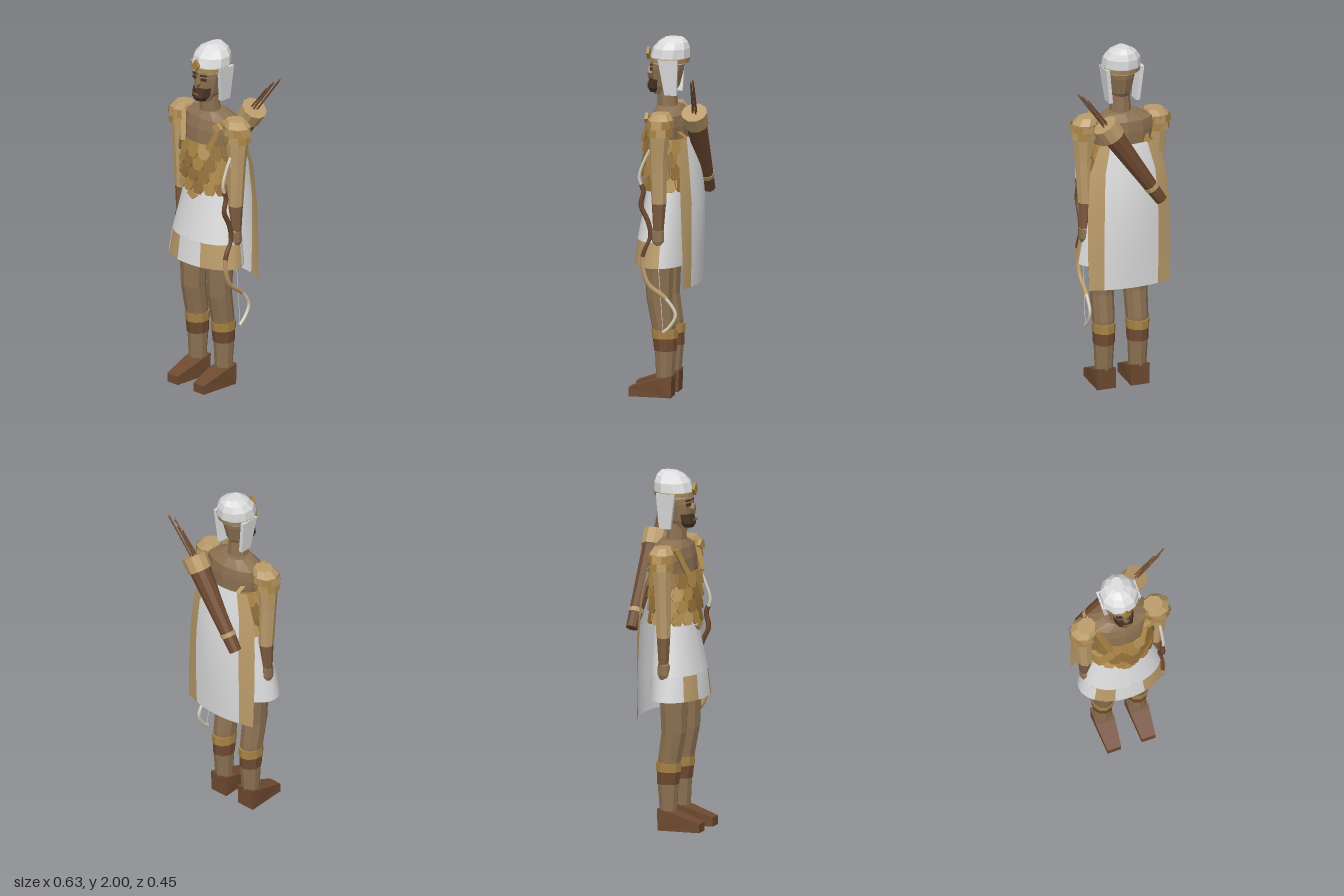
import * as THREE from 'three';

const mat = (name, color) => {
  const m = new THREE.MeshStandardMaterial({ color, side: THREE.DoubleSide });
  m.name = name;
  return m;
};
const M = {
  skin: mat('skin', 0x8c7152), leather: mat('leather', 0x6e4a30), bracer: mat('bracer brown', 0x7d5c40),
  tan: mat('tan cloth', 0xbb9c6b), gold: mat('gold', 0xa88344), bronze: mat('dark gold', 0x8f6d38),
  brass: mat('pale gold', 0xb8955c), white: mat('white cloth', 0xdcdcdc), dark: mat('dark hair', 0x453022),
  bone: mat('bone', 0xd6d0ba),
};

// Flat facets without touching the material
function flat(g) {
  const f = g.index ? g.toNonIndexed() : g;
  f.computeVertexNormals();
  return f;
}

function add(parent, name, geo, material, pos = [0, 0, 0]) {
  const m = new THREE.Mesh(geo, material);
  m.name = name;
  m.position.set(...pos);
  parent.add(m);
  return m;
}

// Skin over elliptical sections [y, cx, cz, rx, rz], listed bottom to top
function loft(sections, n, { a0 = 0, a1 = Math.PI * 2, caps = true, smooth = false } = {}) {
  const pos = [], idx = [];
  for (const [y, cx, cz, rx, rz] of sections)
    for (let i = 0; i <= n; i++) {
      const a = a0 + (a1 - a0) * i / n;
      pos.push(cx + rx * Math.sin(a), y, cz + rz * Math.cos(a));
    }
  const w = n + 1;
  for (let s = 0; s < sections.length - 1; s++)
    for (let i = 0; i < n; i++) {
      const a = s * w + i, b = a + 1, c = a + w, d = c + 1;
      idx.push(a, b, d, a, d, c);
    }
  if (caps) {
    const top = (sections.length - 1) * w;
    for (let i = 1; i < n - 1; i++) idx.push(top, top + i, top + i + 1, 0, i + 1, i);
  }
  const g = new THREE.BufferGeometry();
  g.setAttribute('position', new THREE.Float32BufferAttribute(pos, 3));
  g.setIndex(idx);
  if (!smooth) return flat(g);
  g.computeVertexNormals();
  return g;
}

function plate(points, depth) {
  const shape = new THREE.Shape(points.map(p => new THREE.Vector2(...p)));
  return new THREE.ExtrudeGeometry(shape, { depth, bevelEnabled: false });
}
const diamond = (w, h, d) => plate([[0, -h], [w, 0], [0, h], [-w, 0]], d);

// Tapered rod between two points
function rod(parent, name, material, from, to, r0, r1, n = 6) {
  const a = new THREE.Vector3(...from), b = new THREE.Vector3(...to), d = b.clone().sub(a);
  const m = add(parent, name, loft([[0, 0, 0, r0, r0], [d.length(), 0, 0, r1, r1]], n), material, from);
  m.quaternion.setFromUnitVectors(new THREE.Vector3(0, 1, 0), d.normalize());
  return m;
}

function head(body) {
  add(body, 'neck', loft([[1.56, 0, 0.03, 0.065, 0.06], [1.74, 0, 0.04, 0.053, 0.055]], 10), M.skin);
  add(body, 'head', loft([[1.68, 0, 0.055, 0.042, 0.055], [1.73, 0, 0.045, 0.064, 0.078],
    [1.82, 0, 0.035, 0.078, 0.092], [1.9, 0, 0.025, 0.08, 0.09]], 10), M.skin);
  add(body, 'beard', loft([[1.69, 0, 0.105, 0.035, 0.03], [1.715, 0, 0.1, 0.055, 0.05],
    [1.765, 0, 0.085, 0.06, 0.052]], 8), M.dark);
  add(body, 'mouth', new THREE.BoxGeometry(0.04, 0.008, 0.008), M.bracer, [0, 1.735, 0.147]);
  add(body, 'nose', diamond(0.016, 0.032, 0.03), M.skin, [0, 1.795, 0.115]);
  for (const s of [-1, 1]) {
    add(body, 'eye', new THREE.BoxGeometry(0.032, 0.014, 0.009), M.dark, [s * 0.034, 1.82, 0.12]).rotation.y = s * 0.35;
    add(body, 'brow', new THREE.BoxGeometry(0.038, 0.008, 0.009), M.dark, [s * 0.034, 1.843, 0.12]).rotation.y = s * 0.35;
    // Cheek flap, narrower and leaning in at the bottom
    const flap = new THREE.BoxGeometry(0.022, 0.2, 0.11);
    const p = flap.attributes.position;
    for (let i = 0; i < p.count; i++) if (p.getY(i) < 0) {
      p.setZ(i, p.getZ(i) * 0.62 - 0.012);
      p.setX(i, p.getX(i) - s * 0.022);
    }
    add(body, 'helmetFlap', flat(flap), M.white, [s * 0.102, 1.785, 0.012]);
  }
  add(body, 'helmet', loft([[1.855, 0, 0.022, 0.1, 0.1], [1.89, 0, 0.02, 0.109, 0.112],
    [1.94, 0, 0.012, 0.104, 0.104], [1.975, 0, 0.002, 0.078, 0.082], [2, 0, -0.005, 0.032, 0.05]], 10), M.white);
  add(body, 'headband', loft([[1.862, 0, 0.024, 0.107, 0.109], [1.888, 0, 0.022, 0.113, 0.116]], 14, { caps: false }), M.brass);
  add(body, 'helmetGem', diamond(0.027, 0.035, 0.016), M.gold, [0, 1.905, 0.135]);
}

function torso(body) {
  add(body, 'torso', loft([[1.12, 0, 0.03, 0.155, 0.11], [1.42, 0, 0.025, 0.172, 0.115],
    [1.52, 0, 0.02, 0.19, 0.112], [1.58, 0, 0.015, 0.185, 0.1], [1.62, 0, 0.02, 0.09, 0.07]], 12), M.skin);

  // Rows of overlapping scales around the chest
  const scale = plate([[-0.039, 0], [0.039, 0], [0.039, -0.052], [0.02, -0.086], [-0.02, -0.086], [-0.039, -0.052]], 0.008);
  const tones = [M.gold, M.bronze, M.gold, M.brass, M.bronze];
  const n = 15;
  for (let r = 0; r < 4; r++)
    for (let i = 0; i < n; i++) {
      const a = (i + (r % 2) / 2) / n * Math.PI * 2, rx = 0.172 - r * 0.003, rz = 0.122;
      const m = add(body, 'armourScale', scale, tones[(i * 3 + r * 2 + (i * r) % 4) % 5],
        [rx * Math.sin(a), 1.45 - r * 0.07, 0.028 + rz * Math.cos(a)]);
      m.rotation.order = 'YXZ';
      m.rotation.set(-0.22, Math.atan2(Math.sin(a) / rx, Math.cos(a) / rz), 0);
    }
  add(body, 'beltGem', diamond(0.042, 0.03, 0.015), M.brass, [0, 1.145, 0.16]);

  // Shoulder straps
  for (const s of [-1, 1]) {
    rod(body, 'strap', M.gold, [s * 0.095, 1.43, 0.148], [s * 0.145, 1.585, 0.09], 0.02, 0.018, 4);
    rod(body, 'backStrap', M.gold, [s * 0.145, 1.585, 0.07], [s * 0.11, 1.45, -0.09], 0.016, 0.016, 4);
  }
  add(body, 'strapClasp', diamond(0.035, 0.03, 0.02), M.brass, [0.145, 1.565, 0.11]);
}

function skirt(body) {
  const rad = Math.PI / 180;
  const hem = [0.74, 0, 0.06, 0.252, 0.15], mid = [0.88, 0, 0.053, 0.23, 0.143];
  add(body, 'skirt', loft([mid, [1.05, 0, 0.038, 0.192, 0.125], [1.18, 0, 0.03, 0.163, 0.113]], 32, { caps: false, smooth: true }), M.white);
  const stops = [-50, -20, 20, 100, 310];
  for (let i = 0; i < 4; i++)
    add(body, 'skirtHem', loft([hem, mid], Math.ceil((stops[i + 1] - stops[i]) / 10),
      { a0: stops[i] * rad, a1: stops[i + 1] * rad, caps: false, smooth: true }), i % 2 ? M.white : M.tan);
}

function cape(body) {
  // Rows: y, half width, z at the middle, z at the edges
  const rows = [[0.63, 0.24, -0.15, -0.105], [0.85, 0.245, -0.162, -0.1], [1.1, 0.24, -0.17, -0.09],
    [1.3, 0.225, -0.148, -0.08], [1.46, 0.165, -0.112, -0.075]];
  const panel = (name, u0, u1, n, material) => {
    const g = new THREE.PlaneGeometry(1, 1, n, rows.length - 1), p = g.attributes.position;
    for (let i = 0; i < p.count; i++) {
      const u = u0 + (u1 - u0) * (p.getX(i) + 0.5);
      const [y, w, zm, ze] = rows[Math.round((p.getY(i) + 0.5) * (rows.length - 1))];
      p.setXYZ(i, -u * w, y, zm + (ze - zm) * u * u);
    }
    // Turn the outside of the panel toward the back
    g.computeVertexNormals();
    add(body, name, g, material);
  };
  panel('cape', -0.66, 0.66, 8, M.white);
  panel('capeBorder', -1, -0.66, 2, M.tan);
  panel('capeBorder', 0.66, 1, 2, M.tan);
}

function arm(body, s) {
  const x = s * 0.21;
  add(body, 'sleeve', loft([[1.1, x - s * 0.005, 0.04, 0.043, 0.042], [1.35, x + s * 0.003, 0.04, 0.054, 0.048],
    [1.5, x + s * 0.005, 0.036, 0.068, 0.058], [1.57, x, 0.03, 0.076, 0.072],
    [1.605, x - s * 0.015, 0.03, 0.055, 0.05]], 8), M.tan);
  add(body, 'bracer', loft([[0.95, x, 0.042, 0.03, 0.03], [1.1, x - s * 0.005, 0.04, 0.041, 0.04]], 8), M.bracer);
  add(body, 'hand', loft([[0.865, x + s * 0.004, 0.045, 0.018, 0.026], [0.89, x + s * 0.004, 0.045, 0.026, 0.037],
    [0.945, x + s * 0.002, 0.045, 0.027, 0.036], [0.96, x, 0.043, 0.026, 0.028]], 8), M.skin);
  // Two rows of plates round the shoulder
  for (let r = 0; r < 2; r++)
    for (let i = 0; i < 8; i++) {
      const a = (i + r / 2) * Math.PI / 4, q = 0.074 + r * 0.006, y = 1.48 + r * 0.046;
      add(body, 'shoulderPlate', loft([[y, x + s * 0.005, 0.035, q + 0.004, q - 0.004], [y + 0.042, x + s * 0.003, 0.034, q, q - 0.006]],
        1, { a0: a, a1: a + 0.72, caps: false }), (i + r) % 2 ? M.gold : M.brass);
    }
}

function leg(body, s) {
  const x = s * 0.1;
  add(body, 'leg', loft([[0.11, x, 0.028, 0.05, 0.05], [0.26, x, 0.025, 0.057, 0.06], [0.4, x, 0.035, 0.063, 0.068],
    [0.55, x, 0.06, 0.067, 0.073], [0.85, x, 0.06, 0.08, 0.085]], 10), M.skin);
  add(body, 'shinWrap', loft([[0.26, x, 0.026, 0.06, 0.064], [0.335, x, 0.03, 0.063, 0.068]], 10), M.leather);
  add(body, 'kneeBand', loft([[0.33, x, 0.028, 0.065, 0.073], [0.38, x, 0.03, 0.066, 0.075]], 10), M.gold);
  // Wedge shoe, tapered toward the toe
  const shoe = plate([[-0.015, 0], [0.225, 0], [0.225, 0.05], [0.08, 0.098], [-0.02, 0.122]], 0.11);
  shoe.translate(0, 0, -0.055).rotateY(-Math.PI / 2);
  const p = shoe.attributes.position;
  for (let i = 0; i < p.count; i++) if (p.getZ(i) > 0.2) p.setX(i, p.getX(i) * 0.72);
  add(body, 'shoe', flat(shoe), M.leather, [x, 0, 0]);
}

function quiver(body) {
  const g = new THREE.Group();
  g.name = 'quiver';
  const base = new THREE.Vector3(-0.165, 1.13, -0.165), dir = new THREE.Vector3(0.165, 1.61, -0.15).sub(base);
  const L = dir.length();
  g.position.copy(base);
  g.quaternion.setFromUnitVectors(new THREE.Vector3(0, 1, 0), dir.normalize());
  const ring = (y, r) => [y, 0, 0, r, r];
  add(g, 'quiverBody', loft([ring(0, 0.034), ring(L - 0.08, 0.06)], 10), M.leather);
  add(g, 'quiverBand', loft([ring(0.09, 0.042), ring(0.115, 0.044)], 10), M.tan);
  add(g, 'quiverRim', loft([ring(L - 0.09, 0.068), ring(L, 0.073)], 10), M.tan);
  body.add(g);
  // Arrows standing out of the quiver
  const tips = [[0.325, 1.81, -0.178], [0.295, 1.79, -0.16], [0.265, 1.765, -0.17], [0.245, 1.74, -0.155]];
  tips.forEach(([x, y, z], i) => {
    rod(body, 'arrowShaft', M.leather, [0.165 - i * 0.012, 1.59, -0.16 + (i % 2) * 0.02], [x, y, z], 0.005, 0.005);
    rod(body, 'arrowTip', M.bracer, [x, y, z], [x + 0.012, y + 0.018, z], 0.008, 0.001, 4);
  });
}

function bow(body) {
  const path = [[1.4, 0.09], [1.34, 0.12], [1.24, 0.15], [1.17, 0.125], [1.09, 0.14], [1.0, 0.1], [0.915, 0.085], [0.8, 0.13],
    [0.65, 0.1], [0.57, 0], [0.48, -0.055], [0.41, -0.02], [0.38, 0.015]];
  const curve = new THREE.CatmullRomCurve3(path.map(([y, z]) => new THREE.Vector3(0.214, y, z)));
  const pts = curve.getPoints(48);
  const part = (name, i, j, r, material) => add(body, name,
    new THREE.TubeGeometry(new THREE.CatmullRomCurve3(pts.slice(i, j + 1)), j - i, r, 6), material);
  part('bowTip', 0, 10, 0.009, M.bone);
  part('bowLimb', 10, 28, 0.014, M.leather);
  part('bowLimb', 28, 36, 0.014, M.tan);
  part('bowTip', 36, 48, 0.01, M.bone);
  rod(body, 'bowString', M.bone, [0.214, 0.38, 0.015], [0.214, 1.4, 0.09], 0.002, 0.002, 4);
}

export function createModel() {
  const model = new THREE.Group();
  model.name = 'archer';
  const body = new THREE.Group();
  body.name = 'figure';
  body.position.x = -0.02;
  model.add(body);
  [head, torso, skirt, cape, quiver, bow].forEach(build => build(body));
  for (const s of [-1, 1]) {
    arm(body, s);
    leg(body, s);
  }
  return model;
}
